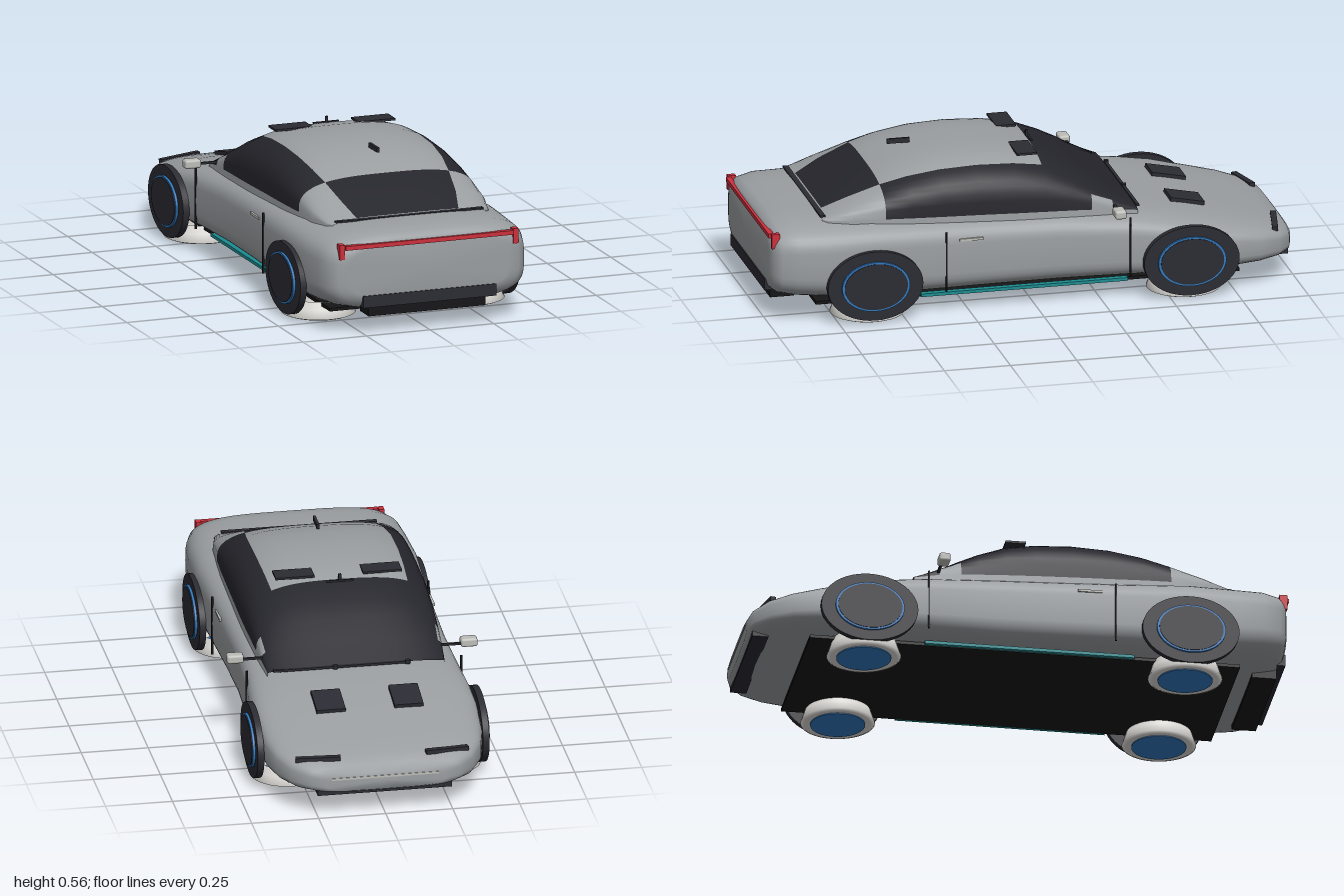
import * as THREE from 'three';
import { RoundedBoxGeometry } from 'three/addons/geometries/RoundedBoxGeometry.js';

const mat = (name, color, side = THREE.FrontSide) => {
  const m = new THREE.MeshStandardMaterial({ color, side });
  m.name = name;
  return m;
};

// Skin a list of rings (ordered from +z to -z, each running from +x over the top to -x).
// pick(i, j) returns the material index of a cell.
function loft(rings, closed, pick = () => 0) {
  const n = rings[0].length, pos = rings.flat(2), buckets = [[], []];
  const id = (i, j) => i * n + (j % n);
  const cells = closed ? n : n - 1;
  for (let i = 0; i < rings.length - 1; i++) {
    for (let j = 0; j < cells; j++) {
      const a = id(i, j), b = id(i, j + 1), c = id(i + 1, j), d = id(i + 1, j + 1);
      buckets[pick(i, j)].push(a, c, b, b, c, d);
    }
  }
  if (closed) {
    [0, rings.length - 1].forEach((r) => {
      const k = pos.length / 3, mid = [0, 0, 0];
      rings[r].forEach((p) => p.forEach((v, q) => { mid[q] += v / n; }));
      pos.push(...mid);
      for (let j = 0; j < n; j++) {
        if (r === 0) buckets[0].push(k, id(r, j), id(r, j + 1));
        else buckets[0].push(k, id(r, j + 1), id(r, j));
      }
    });
  }
  const g = new THREE.BufferGeometry();
  g.setAttribute('position', new THREE.Float32BufferAttribute(pos, 3));
  g.setIndex(buckets.flat());
  g.addGroup(0, buckets[0].length, 0);
  g.addGroup(buckets[0].length, buckets[1].length, 1);
  g.computeVertexNormals();
  return g;
}

const spow = (v, e) => Math.sign(v) * Math.pow(Math.abs(v), e);

export function createModel() {
  const car = new THREE.Group();
  car.name = 'car';
  const paint = mat('body paint', 0x9a9ea1, THREE.DoubleSide);
  const glass = mat('dark glass', 0x25252c, THREE.DoubleSide);
  const trim = mat('dark trim', 0x2b2b33);
  const black = mat('underbody black', 0x151517);
  const red = mat('tail light red', 0xcc2f3c);
  const blue = mat('rim blue', 0x3178bd);
  const white = mat('pad white', 0xe0deda, THREE.DoubleSide);
  const teal = mat('sill teal', 0x1c8c90);
  const silver = mat('light silver', 0xbcbcb8);

  const add = (name, geo, material, x = 0, y = 0, z = 0) => {
    const m = new THREE.Mesh(geo, material);
    m.name = name;
    m.position.set(x, y, z);
    car.add(m);
    return m;
  };
  const box = (name, material, w, h, d, x, y, z) =>
    add(name, new THREE.BoxGeometry(w, h, d), material, x, y, z);

  // Body: rounded cross-sections [z, half width, bottom, top]
  const stations = [
    [0.995, 0.31, 0.135, 0.335], [0.985, 0.355, 0.11, 0.358], [0.96, 0.385, 0.092, 0.373],
    [0.9, 0.403, 0.08, 0.385], [0.8, 0.412, 0.07, 0.385], [0.62, 0.416, 0.066, 0.38],
    [0.4, 0.406, 0.066, 0.37], [0.15, 0.396, 0.066, 0.362], [-0.1, 0.392, 0.066, 0.353],
    [-0.35, 0.402, 0.066, 0.335], [-0.48, 0.412, 0.066, 0.316], [-0.6, 0.415, 0.066, 0.295],
    [-0.75, 0.405, 0.07, 0.262], [-0.85, 0.383, 0.076, 0.238], [-0.93, 0.34, 0.082, 0.216],
    [-0.98, 0.28, 0.09, 0.193], [-0.998, 0.22, 0.1, 0.168],
  ];
  const N = 56;
  const bodyRings = stations.map(([z, w, lo, hi]) => {
    const e = 2 / (Math.abs(z) > 0.7 ? 3.8 : 4.4);
    return Array.from({ length: N }, (_, k) => {
      const t = (k / N) * Math.PI * 2;
      return [w * spow(Math.cos(t), e), (lo + hi) / 2 + ((hi - lo) / 2) * spow(Math.sin(t), e), z];
    });
  });
  add('body', loft(bodyRings, true), [paint, glass]);

  // Cabin: arched sections [z, half width, belt height, roof height, x fraction of the roof edge]
  const arches = [
    [0.79, 0.3, 0.372, 0.38, 0.62], [0.77, 0.318, 0.373, 0.388, 0.63], [0.68, 0.34, 0.373, 0.436, 0.66],
    [0.56, 0.347, 0.373, 0.49, 0.7], [0.46, 0.35, 0.37, 0.526, 0.73], [0.34, 0.35, 0.366, 0.552, 0.75],
    [0.2, 0.35, 0.362, 0.56, 0.75], [0.06, 0.35, 0.357, 0.552, 0.74], [-0.05, 0.348, 0.353, 0.532, 0.73],
    [-0.15, 0.345, 0.349, 0.489, 0.73], [-0.22, 0.342, 0.345, 0.45, 0.73], [-0.3, 0.338, 0.34, 0.397, 0.73],
    [-0.395, 0.33, 0.326, 0.337, 0.73],
  ];
  const SIDE = 7, ROOF = 16;
  const cabinRings = arches.map(([z, w, lo, hi, edge]) => {
    const te = Math.acos(Math.pow(edge, 1.5)), angles = [];
    for (let k = 0; k <= SIDE; k++) angles.push((te * k) / SIDE);
    for (let k = 1; k < ROOF; k++) angles.push(te + ((Math.PI - 2 * te) * k) / ROOF);
    for (let k = SIDE; k >= 0; k--) angles.push(Math.PI - (te * k) / SIDE);
    const arc = angles.map((t) =>
      [w * spow(Math.cos(t), 2 / 3), lo + (hi - lo) * Math.pow(Math.max(Math.sin(t), 0), 2 / 3), z]);
    return [[w + 0.005, 0.29, z], ...arc, [-w - 0.005, 0.29, z]];
  });
  const cells = cabinRings[0].length - 1;
  const pickCabin = (i, j) => {
    const k = Math.min(j, cells - 1 - j); // distance from the lower edge
    if (k === 0) return 0;
    const side = k <= SIDE;
    if (i < 3) return side || i < 1 ? 0 : 1; // rear window
    if (i < 8) return side ? 1 : 0; // side windows under the roof
    return i === 10 && k <= 3 ? 0 : 1; // windscreen
  };
  add('cabin', loft(cabinRings, false, pickCabin), [paint, glass]);

  // Floor and ends
  box('floor', black, 0.65, 0.012, 1.6, 0, 0.062, 0.02);
  box('rearDiffuser', black, 0.46, 0.04, 0.09, 0, 0.085, 0.925);
  box('rearBumper', trim, 0.524, 0.045, 0.05, 0, 0.128, 0.974);
  box('frontGrille', trim, 0.5, 0.026, 0.06, 0, 0.095, -0.952);
  box('noseSlot', silver, 0.4, 0.008, 0.012, 0, 0.15, -0.994);
  box('tailLightBar', red, 0.66, 0.016, 0.02, 0, 0.338, 0.99);
  box('rearWindowSeal', trim, 0.58, 0.006, 0.02, 0, 0.384, 0.785);

  // Roof and windscreen fittings
  box('roofAntenna', trim, 0.01, 0.018, 0.085, 0, 0.553, 0.43);
  box('sensorSpike', trim, 0.01, 0.04, 0.008, 0, 0.535, -0.055);
  box('sensorBar', trim, 0.1, 0.006, 0.008, 0, 0.531, -0.062);
  box('wiperBar', trim, 0.5, 0.008, 0.012, 0.06, 0.337, -0.4);
  [-0.19, 0.08].forEach((x) =>
    add('wiperPivot', new THREE.CylinderGeometry(0.01, 0.01, 0.014, 12), trim, x, 0.338, -0.402));

  // Ground pad profile, wheel discs
  const padProfile = [[0.1, 0.004], [0.122, 0.002], [0.137, 0.008], [0.126, 0.04], [0.116, 0.07]]
    .map(([r, y]) => new THREE.Vector2(r, y));
  const disc = (r, thick) => {
    const g = new THREE.CylinderGeometry(r, r, thick, 48);
    g.rotateZ(Math.PI / 2);
    g.scale(1, 0.74, 1); // slightly flattened wheels
    return g;
  };

  [1, -1].forEach((s) => {
    [0.62, -0.575].forEach((z) => {
      add('tyre', disc(0.18, 0.024), trim, s * 0.42, 0.147, z);
      add('rimRing', disc(0.128, 0.014), blue, s * 0.434, 0.147, z);
      add('wheelCover', disc(0.119, 0.014), trim, s * 0.4365, 0.147, z);
      add('groundPad', new THREE.LatheGeometry(padProfile, 40), white, s * 0.293, 0, z);
      add('padDisc', new THREE.CylinderGeometry(0.101, 0.101, 0.006, 40), blue, s * 0.293, 0.003, z);
    });
    box('sillStrip', teal, 0.025, 0.012, 0.78, s * 0.328, 0.064, 0.035);
    box('tailLightEnd', red, 0.02, 0.056, 0.03, s * 0.341, 0.322, 0.977);

    // Doors
    [[0.345, 0.405], [-0.35, 0.402]].forEach(([z, x]) =>
      box('doorGap', black, 0.008, 0.23, 0.006, s * (x - 0.002), 0.208, z));
    box('doorHandle', silver, 0.012, 0.009, 0.09, s * 0.396, 0.288, 0.25);

    // Mirrors
    box('mirrorArm', trim, 0.09, 0.008, 0.01, s * 0.375, 0.352, -0.305);
    add('mirror', new RoundedBoxGeometry(0.062, 0.033, 0.042, 3, 0.009), silver, s * 0.436, 0.357, -0.3);

    // Hood vents, headlights, roof plates
    box('hoodVent', trim, 0.108, 0.02, 0.13, s * 0.145, 0.294, -0.615).rotation.x = -0.2;
    const lamp = box('headlight', trim, 0.165, 0.016, 0.022, s * 0.24, 0.209, -0.932);
    lamp.rotation.set(0, -s * 0.19, -s * 0.05);
    box('roofPlate', trim, 0.145, 0.008, 0.075, s * 0.163, 0.543, 0);
  });

  return car;
}
